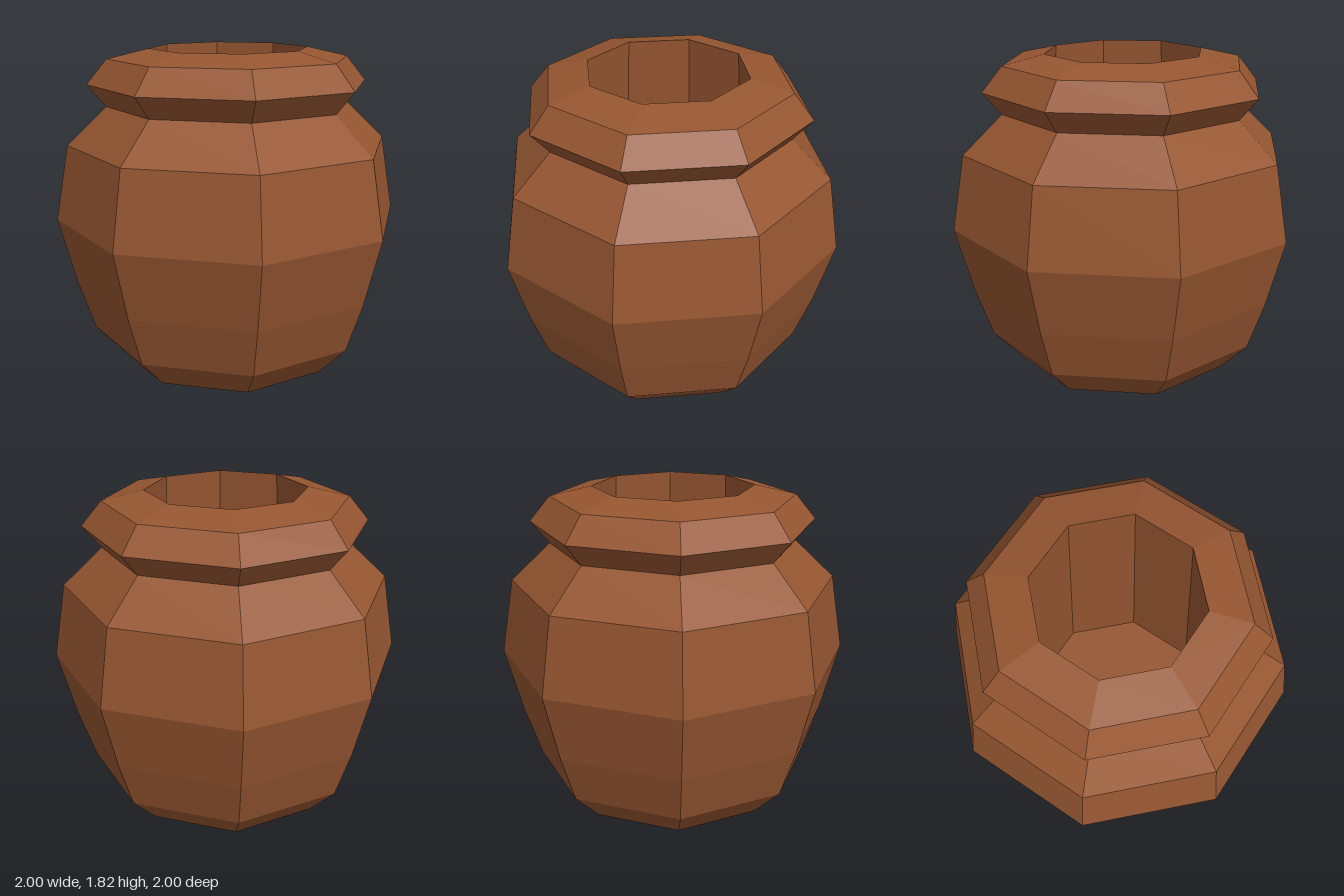
import * as THREE from 'three';

const SIDES = 8;
const clay = new THREE.MeshStandardMaterial({ color: 0x965631, flatShading: true });

// Faceted surface of revolution from [radius, height] pairs
function turned(name, profile) {
  const points = profile.map(([r, y]) => new THREE.Vector2(r, y));
  const mesh = new THREE.Mesh(new THREE.LatheGeometry(points, SIDES), clay);
  mesh.name = name;
  return mesh;
}

export function createModel() {
  const pot = new THREE.Group();
  pot.name = 'clayPot';

  // Base and bulging belly up to the neck
  pot.add(turned('body', [
    [0, 0], [0.64, 0], [0.805, 0.175], [0.9, 0.46],
    [1, 0.85], [0.925, 1.28], [0.7, 1.495],
  ]));

  // Flared collar closing in to the mouth
  pot.add(turned('rim', [
    [0.7, 1.495], [0.805, 1.62], [0.69, 1.76], [0.455, 1.815],
  ]));

  // Inner wall, slightly wider towards the floor
  pot.add(turned('inside', [
    [0.455, 1.815], [0.56, 0.12], [0, 0.12],
  ]));

  return pot;
}
